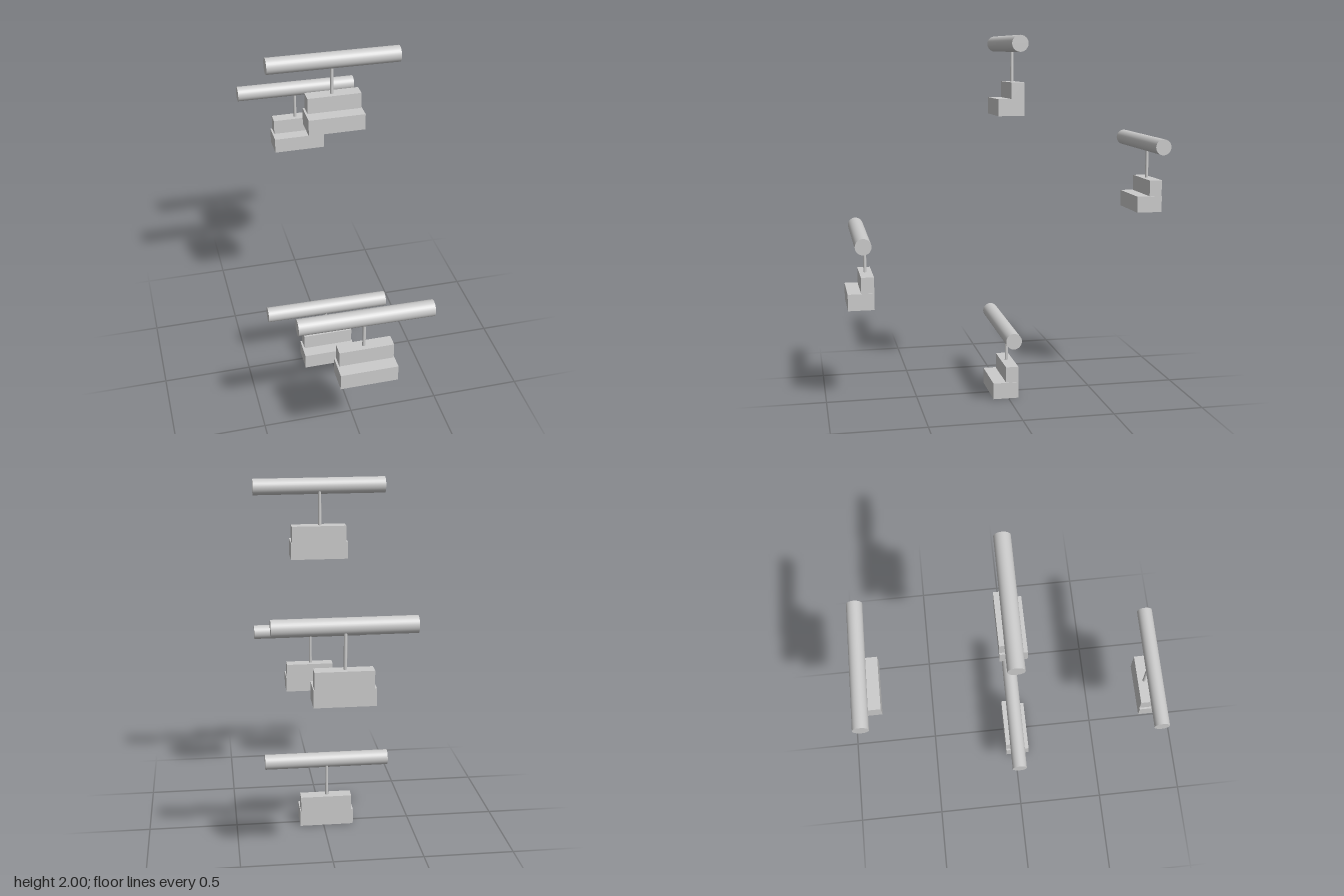
import * as THREE from 'three';

const material = new THREE.MeshStandardMaterial({ color: 0xcccccc });

function addPart(group, name, geometry, x, y, z) {
  const mesh = new THREE.Mesh(geometry, material);
  mesh.name = name;
  mesh.position.set(x, y, z);
  group.add(mesh);
  return mesh;
}

// One stepped pedestal with a thin post carrying a long round bar
function createStand() {
  const stand = new THREE.Group();
  addPart(stand, 'baseStep', new THREE.BoxGeometry(0.305, 0.09, 0.142), -0.018, 0.045, 0.014);
  addPart(stand, 'upperStep', new THREE.BoxGeometry(0.29, 0.088, 0.07), -0.015, 0.134, -0.022);
  addPart(stand, 'post', new THREE.CylinderGeometry(0.008, 0.009, 0.2, 16), -0.022, 0.275, -0.02);

  // Bar lies along x, very slightly yawed and tilted
  const barGeometry = new THREE.CylinderGeometry(0.043, 0.043, 0.704, 32).rotateZ(Math.PI / 2);
  const bar = addPart(stand, 'bar', barGeometry, -0.022, 0.382, 0.008);
  bar.rotation.set(0, -0.009, -0.005);
  return stand;
}

export function createModel() {
  const model = new THREE.Group();
  model.name = 'stands';

  // Four stands at rising heights around the centre
  const places = [
    ['lowestStand', 0, 0, 0],
    ['frontStand', 0.01, 0.546, 0.793],
    ['backStand', 0.01, 1.029, -0.816],
    ['highestStand', 0.042, 1.576, -0.021],
  ];
  for (const [name, x, y, z] of places) {
    const stand = createStand();
    stand.name = name;
    stand.position.set(x, y, z);
    model.add(stand);
  }
  return model;
}
